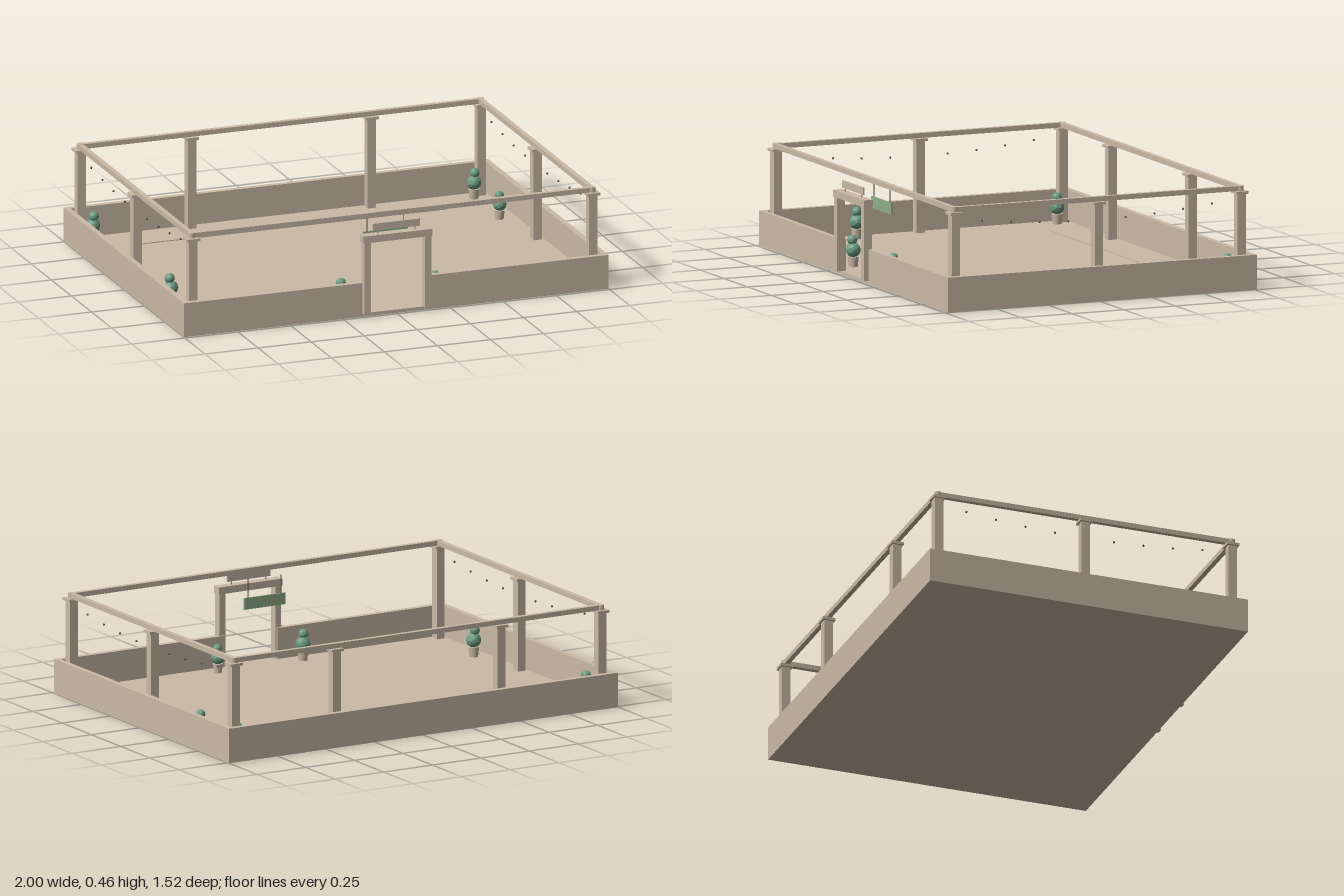
import * as THREE from 'three';

const mat = (name, color) => {
  const m = new THREE.MeshStandardMaterial({ color });
  m.name = name;
  return m;
};

export function createModel() {
  const wood = mat('tan wood', 0xcbbaa6);
  const leaf = mat('leaf green', 0x6b9a80);
  const signGreen = mat('sage green', 0x8fae8b);
  const dark = mat('dark wire', 0x5a5048);

  const root = new THREE.Group();
  root.name = 'terrace';
  const deck = new THREE.Group(); // everything centred on the deck
  deck.name = 'deck';
  deck.position.z = -0.011;
  root.add(deck);

  const add = (parent, name, geometry, material, x, y, z) => {
    const mesh = new THREE.Mesh(geometry, material);
    mesh.name = name;
    mesh.position.set(x, y, z);
    parent.add(mesh);
    return mesh;
  };
  // Box placed by its centre in x and z and its bottom and top in y
  const box = (parent, name, w, d, y0, y1, x, z, material = wood) =>
    add(parent, name, new THREE.BoxGeometry(w, y1 - y0, d), material, x, (y0 + y1) / 2, z);

  const HX = 1, HZ = 0.749, T = 0.025; // deck half sizes and wall thickness
  const CX = 0.942, CZ = 0.692;        // column lines
  const FLOOR = 0.016, WALL = 0.148, CAP = 0.156;

  // Floor slab and thin floor strip
  box(deck, 'floor', 2 * HX, 2 * HZ, 0, FLOOR, 0, 0);
  box(deck, 'floorStrip', 1.445, 0.005, FLOOR, FLOOR + 0.004, 0, -0.539);

  // Low walls with thin caps; the front wall leaves the gateway open
  const wall = (name, w, d, x, z) => {
    box(deck, name, w, d, FLOOR, WALL, x, z);
    box(deck, name + 'Cap', w, d, WALL, CAP, x, z);
  };
  const gap = 0.135;
  wall('backWall', 2 * HX, T, 0, -HZ + T / 2);
  for (const s of [-1, 1]) {
    wall('sideWall', T, 2 * (HZ - T), s * (HX - T / 2), 0);
    wall('frontWall', HX - gap, T, s * (HX + gap) / 2, HZ - T / 2);
  }

  // Columns with square caps
  const columns = [[-0.423, -CZ], [0.423, -CZ]];
  for (const x of [-CX, CX]) for (const z of [-CZ, 0, CZ]) columns.push([x, z]);
  for (const [x, z] of columns) {
    box(deck, 'column', 0.04, 0.04, FLOOR, 0.426, x, z);
    box(deck, 'columnCap', 0.06, 0.058, 0.426, 0.438, x, z);
  }

  // Top rails and round corner joints
  const R = 0.022;
  for (const s of [-1, 1]) {
    box(deck, 'longRail', 2 * CX, R, 0.438, 0.46, 0, s * CZ);
    box(deck, 'sideRail', R, 2 * CZ, 0.438, 0.46, s * CX, 0);
    for (const t of [-1, 1])
      add(deck, 'railJoint', new THREE.CylinderGeometry(0.017, 0.017, 0.024, 12), wood, s * CX, 0.449, t * CZ);
  }

  // Small bulbs sagging along both sides
  const bulb = new THREE.SphereGeometry(0.005, 8, 6);
  for (const s of [-1, 1]) for (let i = -4; i <= 4; i++) {
    if (i === 0) continue; // the middle column stands here
    const z = i * 0.139;
    add(deck, 'bulb', bulb, dark, s * CX, 0.356 + 0.11 * z * z, z);
  }

  // Gateway with a raised board
  const gate = new THREE.Group();
  gate.name = 'gateway';
  root.add(gate);
  for (const s of [-1, 1]) {
    box(gate, 'gatePost', 0.03, 0.038, FLOOR, 0.345, s * 0.143, 0.74);
    box(gate, 'boardLeg', 0.005, 0.005, 0.377, 0.394, s * 0.088, 0.738);
  }
  box(gate, 'lintel', 0.326, 0.044, 0.345, 0.377, 0, 0.739);
  box(gate, 'board', 0.22, 0.008, 0.392, 0.425, 0, 0.738);

  // Green sign hung from wires
  const sign = new THREE.Group();
  sign.name = 'hangingSign';
  root.add(sign);
  box(sign, 'signPlate', 0.212, 0.008, 0.294, 0.346, 0, 0.6, signGreen);
  for (const s of [-1, 1]) box(sign, 'signWire', 0.003, 0.003, 0.346, 0.43, s * 0.085, 0.6, dark);

  // Potted shrubs: x, z, scale
  const plants = [
    [-0.9, -0.66, 1], [0.895, -0.66, 0.98], [0.895, -0.34, 0.9],
    [-0.9, 0.31, 1], [-0.22, 0.638, 1], [0.217, 0.638, 0.9],
  ];
  const faceted = (r) => {
    const g = new THREE.IcosahedronGeometry(r, 1);
    g.computeVertexNormals();
    return g;
  };
  const potGeo = new THREE.CylinderGeometry(0.025, 0.02, 0.045, 12);
  const bushGeo = faceted(0.034), crownGeo = faceted(0.023);
  plants.forEach(([x, z, k], i) => {
    const plant = new THREE.Group();
    plant.name = 'pottedShrub';
    plant.position.set(x, FLOOR, z);
    plant.scale.setScalar(k);
    plant.rotation.y = i * 1.1;
    add(plant, 'pot', potGeo, wood, 0, 0.0225, 0);
    add(plant, 'bush', bushGeo, leaf, 0, 0.075, 0);
    add(plant, 'crown', crownGeo, leaf, 0.004, 0.119, 0.003);
    root.add(plant);
  });

  return root;
}
